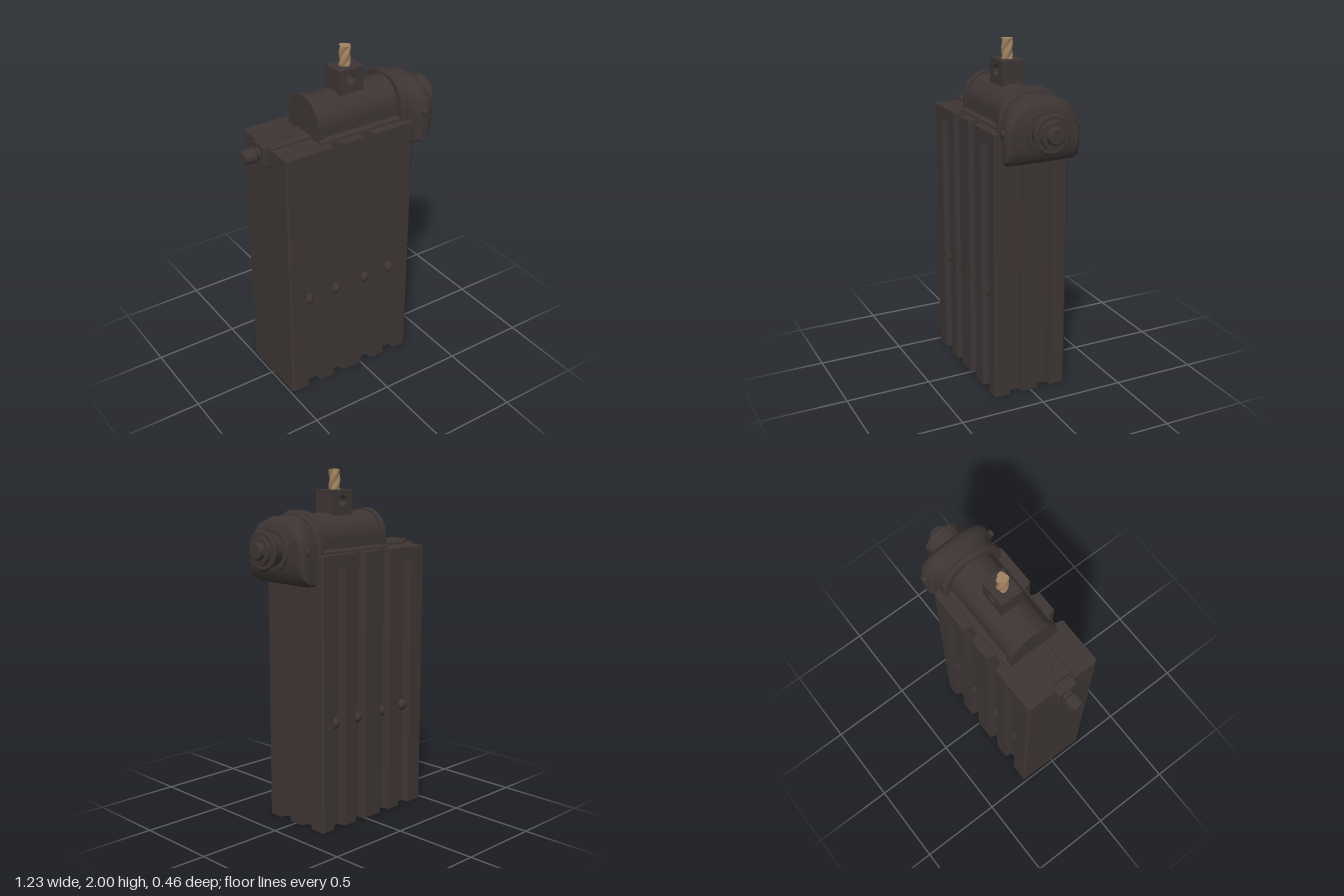
import * as THREE from 'three';
import { toCreasedNormals } from 'three/addons/utils/BufferGeometryUtils.js';
import { RoundedBoxGeometry } from 'three/addons/geometries/RoundedBoxGeometry.js';

const iron = new THREE.MeshStandardMaterial({ color: 0x3d3534 });
iron.name = 'dark iron';
const hemp = new THREE.MeshStandardMaterial({ color: 0xa08060 });
hemp.name = 'tan rope';

// Horizontal outline of the finned casing with grooves cut into its faces
function casingOutline(longGrooves, depth) {
  const L = -0.485, R = 0.338, Z = 0.225, c = 0.012;
  const front = [];
  for (const [a, b] of longGrooves) {
    front.push([a, Z], [a + 0.012, Z - depth], [b - 0.012, Z - depth], [b, Z]);
  }
  const end = [];
  for (const [a, b] of [[0.13, 0.05], [-0.05, -0.13]]) {
    end.push([R, a], [R - 0.04, a - 0.01], [R - 0.04, b + 0.01], [R, b]);
  }
  const pts = [[L, Z - c], [L + c, Z], ...front, [R - c, Z], [R, Z - c], ...end, [R, c - Z], [R - c, -Z],
    ...front.map(([x, z]) => [x, -z]).reverse(), [L + c, -Z], [L, c - Z]];
  return new THREE.Shape(pts.map(([x, z]) => new THREE.Vector2(x, z)));
}

function upright(shape, y0, y1) {
  return new THREE.ExtrudeGeometry(shape, { depth: y1 - y0, bevelEnabled: false })
    .rotateX(-Math.PI / 2).translate(0, y0, 0);
}

// Solid of revolution about a horizontal axis: points are [x, radius]
function turned(points, y) {
  const g = new THREE.LatheGeometry(points.map(([x, r]) => new THREE.Vector2(r, x)), 32);
  return toCreasedNormals(g.rotateZ(-Math.PI / 2).translate(0, y, 0), 0.6);
}

// Loft a closed [z, y] ring through stations [x, zScale, bottom, top]
function loft(ring, stations) {
  const pos = [], index = [], n = ring.length;
  for (const [x, s, bottom, top] of stations) {
    for (const [z, y] of ring) pos.push(x, bottom + (top - bottom) * y, z * s);
  }
  for (let k = 0; k < stations.length - 1; k++) {
    for (let i = 0; i < n; i++) {
      const j = (i + 1) % n, a = k * n, b = a + n;
      index.push(a + i, b + i, a + j, b + i, b + j, a + j);
    }
  }
  const last = stations.length - 1;
  for (const k of [0, last]) {
    const [x, , bottom, top] = stations[k], centre = pos.length / 3;
    pos.push(x, (bottom + top) / 2, 0);
    for (let i = 0; i < n; i++) {
      const a = k * n + i, b = k * n + (i + 1) % n;
      index.push(centre, k ? b : a, k ? a : b);
    }
  }
  const g = new THREE.BufferGeometry();
  g.setAttribute('position', new THREE.Float32BufferAttribute(pos, 3));
  g.setIndex(index);
  return toCreasedNormals(g, 0.6);
}

export function createModel() {
  const model = new THREE.Group();
  const add = (name, geometry, material = iron) => {
    const mesh = new THREE.Mesh(geometry, material);
    mesh.name = name;
    model.add(mesh);
    return mesh;
  };

  // Casing: outer grooves stop below the rim, inner grooves run right through
  const inner = [[-0.2, -0.125], [0, 0.078]];
  const all = [[-0.375, -0.285], ...inner, [0.165, 0.252]];
  add('casing', upright(casingOutline(all, 0.045), 0, 1.48));
  add('casingRim', upright(casingOutline(inner, 0.045), 1.48, 1.555));

  // Rivets sitting in the grooves
  for (const x of [-0.345, -0.16, 0.037, 0.215]) {
    for (const side of [1, -1]) {
      const rivet = add('rivet', new THREE.SphereGeometry(0.033, 16, 10));
      rivet.position.set(x, 0.61, side * 0.185);
    }
  }

  // Arched motor barrel with a collar at its free end
  const arch = (r, top) => {
    const s = new THREE.Shape();
    s.moveTo(-r, 1.53);
    s.lineTo(r, 1.53);
    s.lineTo(r, top - r);
    s.absarc(0, top - r, r, 0, Math.PI, false);
    return s;
  };
  const along = (shape, x0, x1) => toCreasedNormals(
    new THREE.ExtrudeGeometry(shape, { depth: x1 - x0, bevelEnabled: false, curveSegments: 24 })
      .rotateY(Math.PI / 2).translate(x0, 0, 0), 0.6);
  add('barrel', along(arch(0.138, 1.765), -0.225, 0.3));
  add('barrelCollar', along(arch(0.15, 1.776), -0.237, -0.2));
  add('barrelFoot', new RoundedBoxGeometry(0.55, 0.04, 0.34, 2, 0.015).translate(0.04, 1.555, 0));

  // Gear housing with a flange on the barrel side
  const half = [[0.19, 0], [0.21, 0.04], [0.213, 0.2], [0.216, 0.45], [0.2, 0.7], [0.155, 0.88], [0.075, 0.985]];
  const ring = [...half, [0, 1], ...half.map(([z, y]) => [-z, y]).reverse()];
  add('flange', loft(ring, [[0.283, 0.84, 1.46, 1.78], [0.29, 0.88, 1.45, 1.79],
    [0.315, 0.88, 1.45, 1.79], [0.325, 0.83, 1.46, 1.77], [0.35, 0.83, 1.46, 1.77]]));
  add('gearHousing', loft(ring, [[0.335, 0.85, 1.39, 1.765], [0.385, 0.87, 1.39, 1.762], [0.41, 1, 1.4, 1.762],
    [0.445, 1.02, 1.415, 1.755], [0.465, 0.99, 1.44, 1.735], [0.478, 0.93, 1.48, 1.7]]));
  for (const side of [1, -1]) {
    add('housingBolt', new THREE.CylinderGeometry(0.02, 0.022, 0.03, 12)
      .rotateX(side * Math.PI / 2).translate(0.425, 1.582, side * 0.217));
  }

  // Stepped end knob
  add('endKnob', turned([[0.46, 0], [0.46, 0.118], [0.487, 0.112], [0.49, 0.085], [0.5, 0.085], [0.56, 0.108],
    [0.567, 0.1], [0.567, 0.078], [0.585, 0.075], [0.587, 0.05], [0.61, 0.047], [0.615, 0.04], [0.615, 0]], 1.587));

  // Hose nozzle and its bracket on the opposite end
  add('nozzleBracket', new RoundedBoxGeometry(0.07, 0.125, 0.125, 2, 0.012).translate(-0.487, 1.517, 0));
  add('nozzle', turned([[-0.617, 0], [-0.617, 0.033], [-0.61, 0.037], [-0.55, 0.045], [-0.54, 0.035],
    [-0.5, 0.035], [-0.5, 0]], 1.518));
  add('rimPlate', new RoundedBoxGeometry(0.25, 0.03, 0.15, 2, 0.008).translate(-0.355, 1.555, 0));
  add('rimScrew', new THREE.CylinderGeometry(0.028, 0.032, 0.02, 12).translate(-0.35, 1.572, 0));

  // Lifting lug with an eye running front to back
  const lug = new THREE.Shape();
  lug.moveTo(-0.05, 1.73);
  lug.lineTo(0.108, 1.73);
  lug.lineTo(0.108, 1.888);
  lug.lineTo(-0.05, 1.888);
  const eye = new THREE.Path();
  eye.absarc(0.027, 1.828, 0.031, 0, Math.PI * 2, true);
  lug.holes.push(eye);
  add('liftingLug', toCreasedNormals(new THREE.ExtrudeGeometry(lug,
    { depth: 0.13, bevelEnabled: false, curveSegments: 20 }).translate(0, 0, -0.065), 0.6));

  // Twisted three-strand rope
  const rope = new THREE.CylinderGeometry(0.03, 0.03, 0.13, 30, 16);
  const p = rope.attributes.position;
  for (let i = 0; i < p.count; i++) {
    const x = p.getX(i), y = p.getY(i), z = p.getZ(i);
    const r = Math.hypot(x, z), a = Math.atan2(z, x);
    const s = r > 0.001 ? 0.8 + 0.3 * Math.abs(Math.cos(1.5 * (a + y * 28))) : 1;
    p.setXYZ(i, x * s, y, z * s);
  }
  rope.computeVertexNormals();
  add('rope', rope.translate(0.028, 1.935, 0), hemp);

  return model;
}
